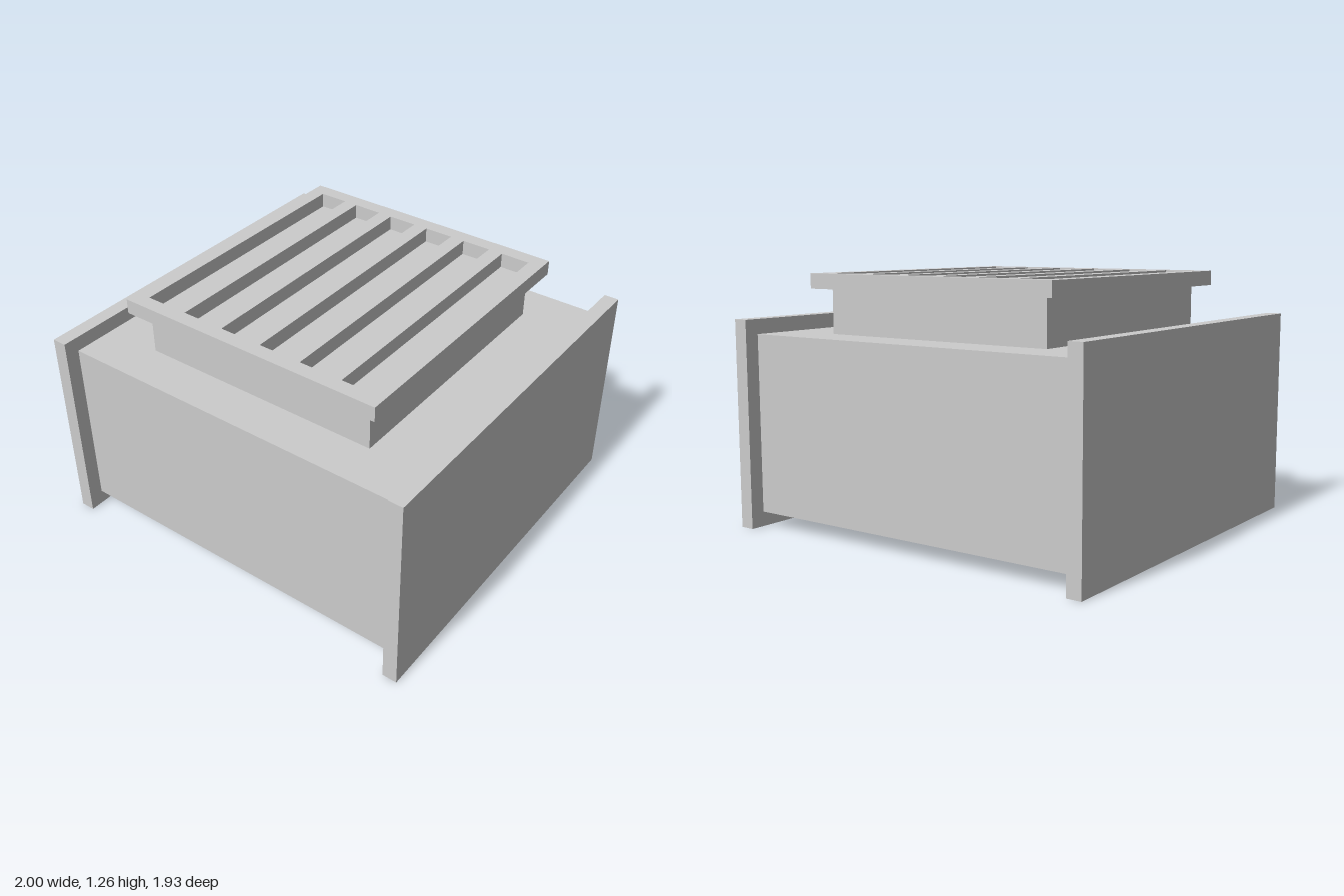
import * as THREE from 'three';

const U = 2 / 27; // design module: the plate thickness

export function createModel() {
  const model = new THREE.Group();
  const material = new THREE.MeshStandardMaterial({ color: 0xcccccc, flatShading: true });

  // Box standing on height y, sizes in modules
  const addBox = (name, w, h, d, x, y) => {
    const mesh = new THREE.Mesh(new THREE.BoxGeometry(w * U, h * U, d * U), material);
    mesh.position.set(x * U, (y + h / 2) * U, 0);
    mesh.name = name;
    model.add(mesh);
  };

  // Main housing and the raised neck under the grille
  addBox('body', 25, 12, 24, 0, 1);
  addBox('neck', 17, 3, 18, 0, 13);

  // Side plates that overhang the housing
  for (const side of [-1, 1]) {
    addBox(side > 0 ? 'leftSidePlate' : 'rightSidePlate', 1, 14, 26, side * 13, 0);
  }

  // Rectangle outline centred on x, in modules
  const rectangle = (path, x, w, d) => path.setFromPoints([
    [x - w / 2, -d / 2], [x + w / 2, -d / 2], [x + w / 2, d / 2], [x - w / 2, d / 2],
  ].map(([px, pz]) => new THREE.Vector2(px * U, pz * U))).closePath();

  // Flat grille with six slots
  const outline = rectangle(new THREE.Shape(), 0, 19, 20);
  for (let i = 0; i < 6; i++) {
    outline.holes.push(rectangle(new THREE.Path(), (i - 2.5) * 3, 2, 18));
  }
  const grilleGeometry = new THREE.ExtrudeGeometry(outline, { depth: U, bevelEnabled: false });
  grilleGeometry.rotateX(-Math.PI / 2);
  const grille = new THREE.Mesh(grilleGeometry, material);
  grille.position.y = 16 * U;
  grille.name = 'grille';
  model.add(grille);

  return model;
}
